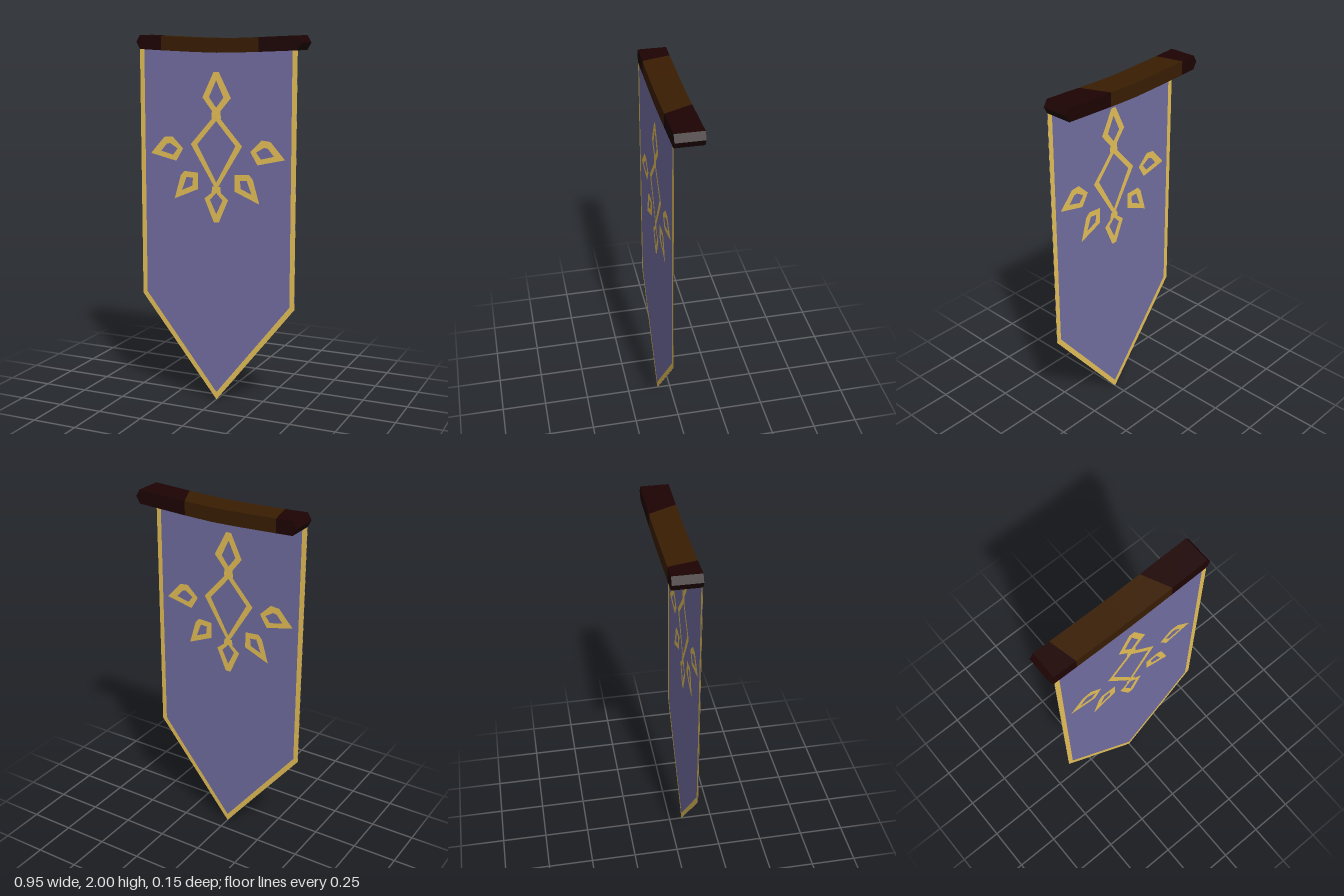
import * as THREE from 'three';
import { mergeGeometries } from 'three/addons/utils/BufferGeometryUtils.js';

// Cloth and crossbar are open surfaces, so every material is double sided
const mat = (name, color) => {
  const m = new THREE.MeshStandardMaterial({ color, side: THREE.DoubleSide });
  m.name = name;
  return m;
};

const vectors = pts => pts.map(p => new THREE.Vector2(...p));
const mirror = pts => pts.map(([x, y]) => [-x, y]).reverse();

// Flat outline with an optional opening
function ring(outer, inner) {
  const s = new THREE.Shape(vectors(outer));
  if (inner) s.holes.push(new THREE.Path(vectors(inner)));
  return s;
}

// Flat-shaded band between a front and a back polyline
function band(front, back, depth) {
  const pos = [];
  for (let i = 0; i + 1 < front.length; i++) {
    const a = [...front[i], depth], b = [...front[i + 1], depth];
    const c = [...back[i + 1], -depth], d = [...back[i], -depth];
    pos.push(...a, ...b, ...c, ...a, ...c, ...d);
  }
  const geo = new THREE.BufferGeometry();
  geo.setAttribute('position', new THREE.Float32BufferAttribute(pos, 3));
  geo.computeVertexNormals();
  return geo;
}

function wall(pts) {
  const geo = new THREE.ShapeGeometry(ring(pts)).toNonIndexed();
  geo.deleteAttribute('uv');
  return geo;
}

const DEPTH = 0.075;   // half the depth of the crossbar
const END = 0.452;
const topY = x => 2 - 0.016 * (1 - (Math.abs(x) / END) ** 1.4);
const botY = x => topY(x) - 0.075;

export function createModel() {
  const cloth = mat('violet cloth', 0x726ea2);
  const gold = mat('gold', 0xe6c158);
  const wood = mat('brown wood', 0x391d02);
  const darkWood = mat('dark wood', 0x1e0303);

  const group = new THREE.Group();
  group.name = 'banner';
  const add = (parent, name, geo, m, z = 0) => {
    const mesh = new THREE.Mesh(geo, m);
    mesh.name = name;
    mesh.position.z = z;
    parent.add(mesh);
  };

  // Cloth hanging from the front lower edge of the crossbar, pointed below
  const hem = [0.24, 0.13, 0, -0.13, -0.325].map(x => [x, botY(x)]);
  const outline = [[-0.453, 1.925], [-0.453, 0.566], [0, 0], [0.453, 0.566], [0.453, 1.925]];
  const inside = [[-0.426, 1.924], [-0.426, 0.577], [0, 0.043], [0.426, 0.577], [0.426, 1.924]];
  add(group, 'cloth', new THREE.ShapeGeometry(ring([...outline, ...hem])), cloth, DEPTH - 0.0015);

  // Gold border, open at the top
  const border = ring([...outline, ...inside.reverse()]);

  // Emblem: a column of three diamonds and mirrored petals
  const diamond = (top, mid, bottom, w) => [[0, top], [-w, mid], [0, bottom], [w, mid]];
  const emblem = [
    ring([[-0.015, 1.81], [-0.08, 1.675], [-0.025, 1.605], [-0.028, 1.565], [0.028, 1.565],
      [0.025, 1.605], [0.085, 1.675], [0.015, 1.81]], diamond(1.766, 1.677, 1.622, 0.042)),
    ring(diamond(1.592, 1.423, 1.18, 0.15), diamond(1.552, 1.423, 1.222, 0.112)),
    ring([[-0.024, 1.2], [-0.028, 1.165], [-0.07, 1.132], [-0.015, 1.005], [0.015, 1.005],
      [0.07, 1.132], [0.028, 1.165], [0.024, 1.2]], diamond(1.166, 1.127, 1.05, 0.037)),
  ];
  const petals = [
    [[[0.196, 1.397], [0.238, 1.328], [0.392, 1.363], [0.31, 1.455], [0.26, 1.46]],
      [[0.23, 1.395], [0.257, 1.36], [0.33, 1.378], [0.296, 1.418], [0.275, 1.423]]],
    [[[0.108, 1.18], [0.25, 1.12], [0.212, 1.25], [0.19, 1.275], [0.108, 1.27]],
      [[0.143, 1.197], [0.205, 1.17], [0.177, 1.243], [0.138, 1.24]]],
  ];
  for (const [outer, inner] of petals)
    emblem.push(ring(outer, inner), ring(mirror(outer), mirror(inner)));

  // The same gold work on both faces of the cloth
  for (const [label, z] of [['front', DEPTH], ['back', DEPTH - 0.003]]) {
    add(group, label + 'Border', new THREE.ShapeGeometry(border), gold, z);
    add(group, label + 'Emblem', new THREE.ShapeGeometry(emblem), gold, z);
  }

  // Sagging hollow crossbar, open underneath, with pointed ends
  const bar = new THREE.Group();
  bar.name = 'crossbar';
  group.add(bar);
  const section = (name, frontXs, backXs, m, tip) => {
    const over = xs => {
      const pts = xs.map(x => [x, topY(x)]);
      if (tip > 0) pts.push([tip, 1.963], [END, botY(END)]);
      if (tip < 0) pts.unshift([-END, botY(END)], [tip, 1.963]);
      return pts;
    };
    const closed = xs => [...over(xs),
      ...xs.filter(x => Math.abs(x) < END).reverse().map(x => [x, botY(x)])];
    const front = wall(closed(frontXs)).translate(0, 0, DEPTH);
    const back = wall(mirror(closed(backXs))).rotateY(Math.PI).translate(0, 0, -DEPTH);
    add(bar, name, mergeGeometries([front, back, band(over(frontXs), over(backXs), DEPTH)]), m);
  };
  section('rightEnd', [-END, -0.325], [-END, -0.36], darkWood, -0.474);
  section('middle', [-0.325, -0.13, 0, 0.13, 0.24], [-0.36, -0.13, 0, 0.13, 0.17], wood, 0);
  section('leftEnd', [0.24, END], [0.17, END], darkWood, 0.474);

  return group;
}
